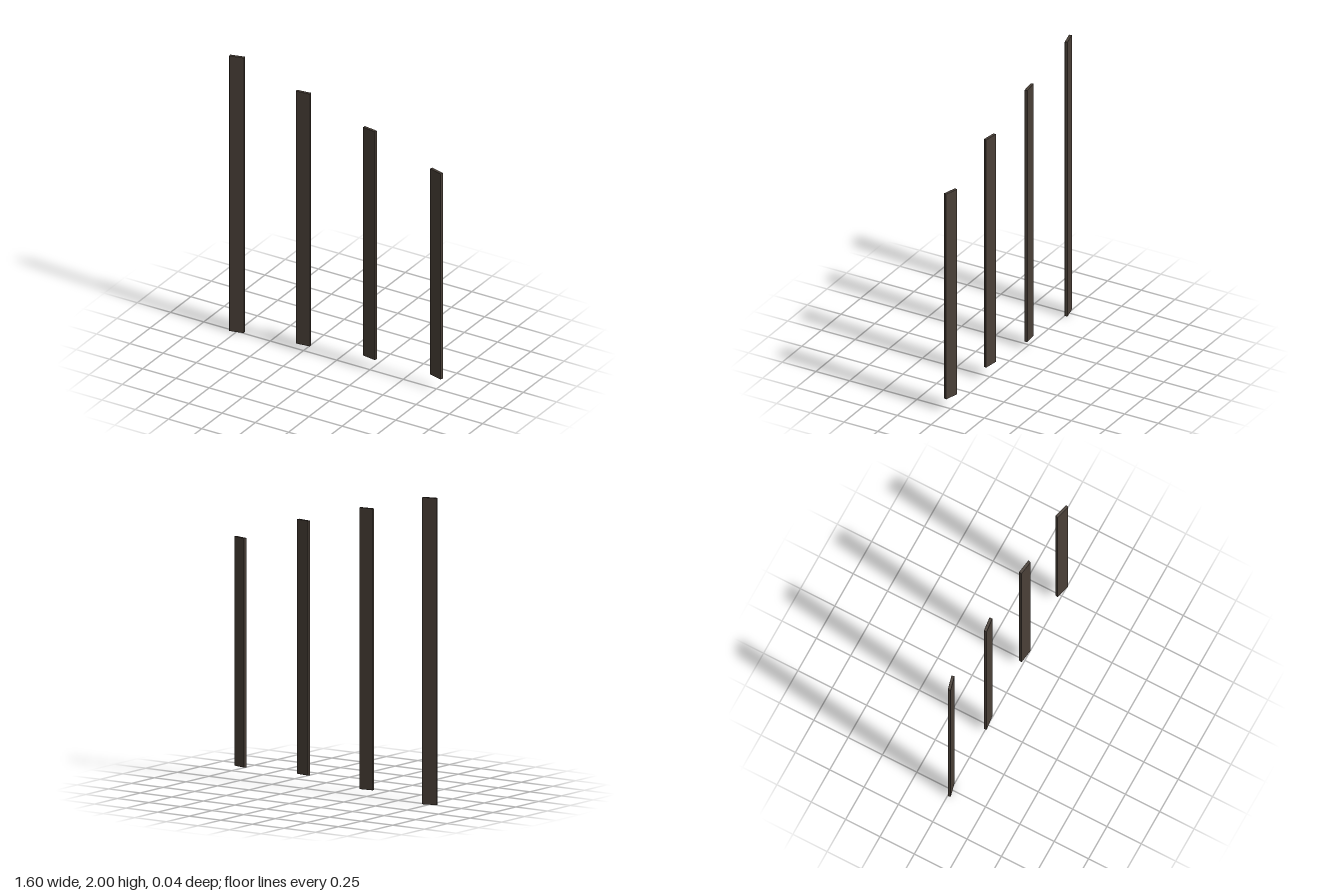
import * as THREE from 'three';
import { RoundedBoxGeometry } from 'three/addons/geometries/RoundedBoxGeometry.js';

export function createModel() {
  const group = new THREE.Group();
  const wood = new THREE.MeshStandardMaterial({ color: 0x4a4038 });

  // Four upright slats, each a little shorter and fanned about its own axis
  const slats = [
    { x: -0.75, bottom: 0, top: 2, yaw: 14 },
    { x: -0.25, bottom: 0.045, top: 1.88, yaw: 6.5 },
    { x: 0.25, bottom: 0.09, top: 1.75, yaw: -8.5 },
    { x: 0.75, bottom: 0.09, top: 1.585, yaw: -15.5 },
  ];

  slats.forEach(({ x, bottom, top, yaw }, i) => {
    // Board with finely eased edges
    const slat = new THREE.Mesh(new RoundedBoxGeometry(0.1, top - bottom, 0.02, 1, 0.002), wood);
    slat.name = `slat${i + 1}`;
    slat.position.set(x, (top + bottom) / 2, 0);
    slat.rotation.y = THREE.MathUtils.degToRad(yaw);
    group.add(slat);
  });

  return group;
}
